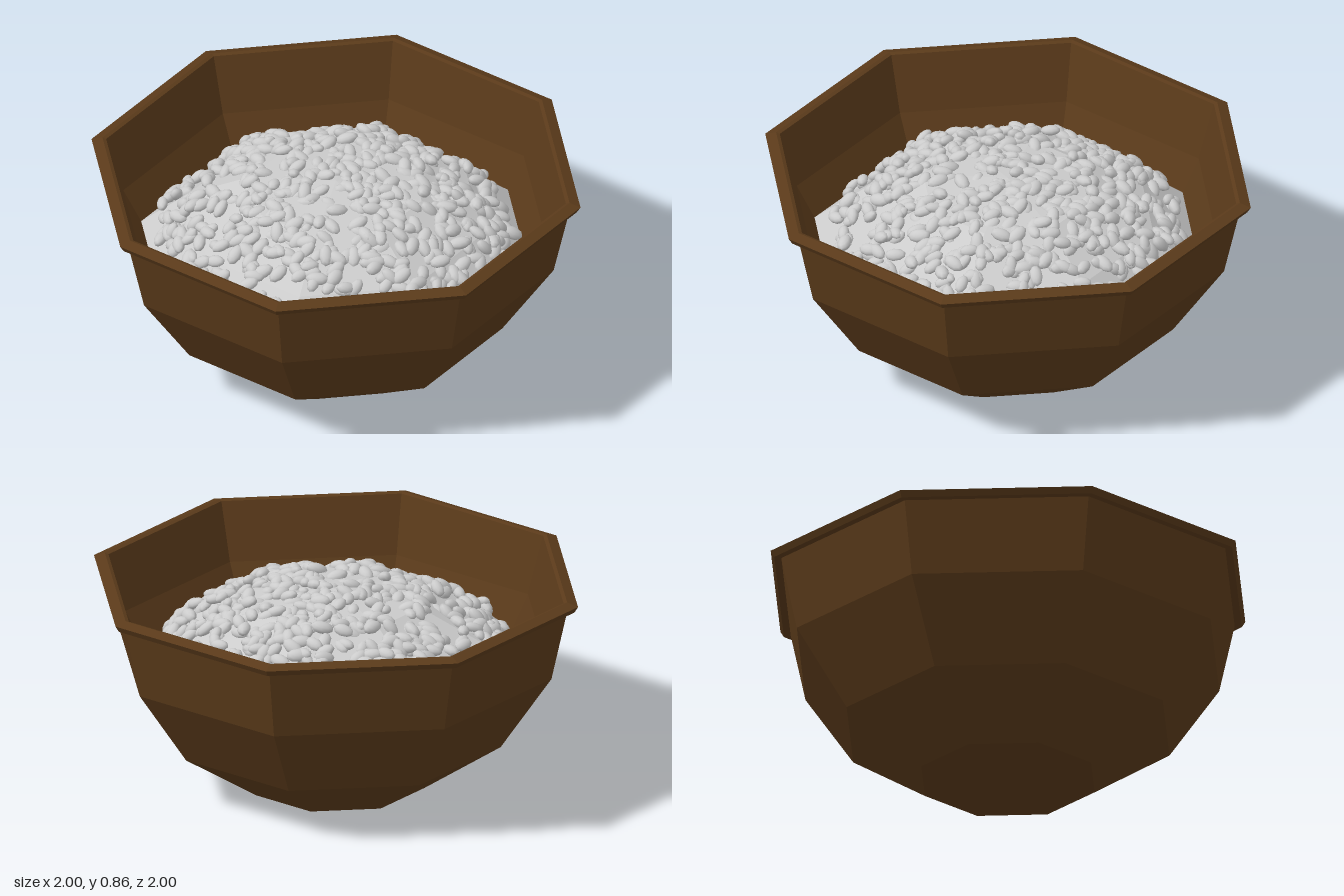
import * as THREE from 'three';
import { mergeGeometries } from 'three/addons/utils/BufferGeometryUtils.js';

const SIDES = 8;
const wood = new THREE.MeshStandardMaterial({ color: 0x5a3a1a, flatShading: true });
const heapGrey = new THREE.MeshStandardMaterial({ color: 0xcccccc, flatShading: true });
const seedGrey = new THREE.MeshStandardMaterial({ color: 0xcccccc });

// Heap outline, from edge to crown, as [radius, height]
const HEAP = [[0.8, 0.48], [0.6, 0.65], [0.35, 0.77], [0, 0.81]];

function lathe(name, profile, material) {
  const points = profile.map(([r, y]) => new THREE.Vector2(r, y));
  const mesh = new THREE.Mesh(new THREE.LatheGeometry(points, SIDES), material);
  mesh.name = name;
  return mesh;
}

// Small seeded generator
function makeRandom(seed) {
  return () => {
    seed = (seed * 1664525 + 1013904223) % 4294967296;
    return seed / 4294967296;
  };
}

// Radius scaled so that the octagon behaves like a circle through its corners
function octagonRadius(x, z) {
  const sector = (2 * Math.PI) / SIDES;
  const a = Math.atan2(x, z);
  const offset = a - (Math.floor(a / sector) + 0.5) * sector;
  return (Math.hypot(x, z) * Math.cos(offset)) / Math.cos(sector / 2);
}

function heapHeight(x, z) {
  const r = octagonRadius(x, z);
  for (let i = 0; i < HEAP.length - 1; i++) {
    const [r0, y0] = HEAP[i], [r1, y1] = HEAP[i + 1];
    if (r >= r1) return y1 + ((y0 - y1) * (r - r1)) / (r0 - r1);
  }
  return HEAP[HEAP.length - 1][1];
}

function heapNormal(x, z) {
  const e = 0.02;
  return new THREE.Vector3(
    heapHeight(x - e, z) - heapHeight(x + e, z), 2 * e,
    heapHeight(x, z - e) - heapHeight(x, z + e)).normalize();
}

// Oval seeds strewn over the heap, partly sunk into it
function buildSeeds(count) {
  const random = makeRandom(17);
  const seed = new THREE.SphereGeometry(1, 9, 7);
  const up = new THREE.Vector3(0, 1, 0);
  const seeds = [];
  while (seeds.length < count) {
    const angle = random() * Math.PI * 2;
    const radius = 0.72 * Math.sqrt(random());
    const x = Math.sin(angle) * radius, z = Math.cos(angle) * radius;
    if (octagonRadius(x, z) > 0.74 || (z > 0.45 && random() < 0.4)) continue;
    const normal = heapNormal(x, z);
    const lay = new THREE.Quaternion().setFromUnitVectors(up, normal);
    const turn = new THREE.Quaternion().setFromEuler(new THREE.Euler(
      (random() - 0.5) * 0.8, random() * Math.PI * 2, (random() - 0.5) * 0.9, 'YXZ'));
    // Seeds nearer the crown sink deeper
    const lift = 0.026 * random() - (radius < 0.42 ? 0.014 : 0);
    const position = new THREE.Vector3(x, heapHeight(x, z), z).addScaledVector(normal, lift);
    const size = 0.9 + random() * 0.2;
    const scale = new THREE.Vector3(0.043, 0.022, 0.026).multiplyScalar(size);
    seeds.push(seed.clone().applyMatrix4(
      new THREE.Matrix4().compose(position, lay.multiply(turn), scale)));
  }
  const mesh = new THREE.Mesh(mergeGeometries(seeds), seedGrey);
  mesh.name = 'seeds';
  return mesh;
}

export function createModel() {
  const group = new THREE.Group();
  group.name = 'bowlOfSeeds';

  // Bowl: base, outer wall, overhanging rim, inner wall and floor
  group.add(lathe('bowl', [
    [0, 0], [0.365, 0], [0.68, 0.21], [0.89, 0.525], [0.955, 0.82],
    [0.985, 0.82], [1, 0.845], [0.955, 0.86],
    [0.94, 0.855], [0.87, 0.62], [0.79, 0.47], [0.63, 0.22], [0.34, 0.03], [0, 0.03],
  ], wood));

  group.add(lathe('heap', HEAP, heapGrey));
  group.add(buildSeeds(640));
  return group;
}
